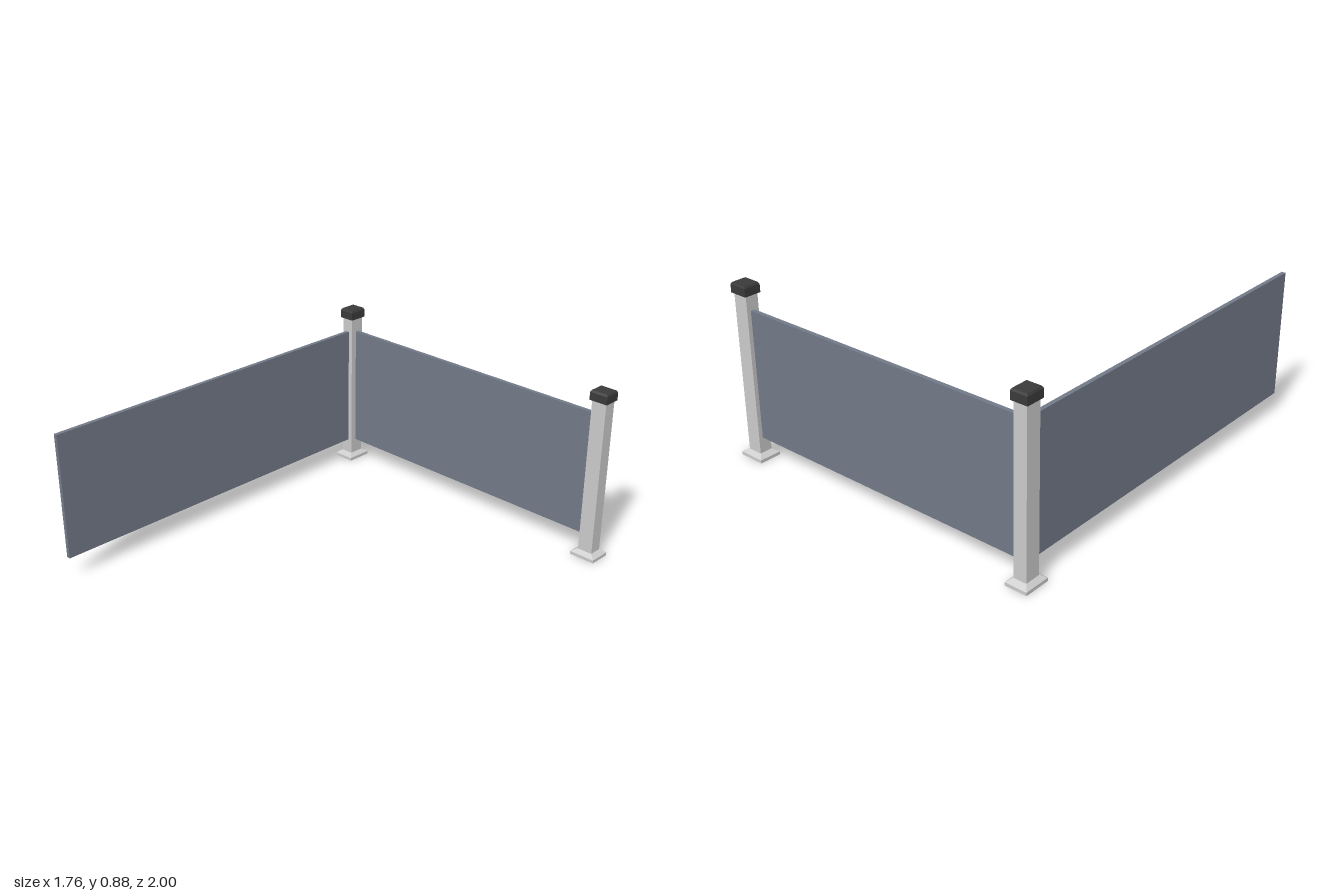
import * as THREE from 'three';

const grey = new THREE.MeshStandardMaterial({ color: 0xcccccc });
const dark = new THREE.MeshStandardMaterial({ color: 0x3a3a3a });
const slate = new THREE.MeshStandardMaterial({ color: 0x727a88 });

// Box standing on y, whose top edges are pulled in to topW x topD
function block(name, material, w, h, d, y, topW = w, topD = d) {
  const geo = new THREE.BoxGeometry(w, h, d);
  const p = geo.attributes.position;
  for (let i = 0; i < p.count; i++) {
    if (p.getY(i) > 0) {
      p.setX(i, p.getX(i) * topW / w);
      p.setZ(i, p.getZ(i) * topD / d);
    }
  }
  geo.translate(0, y + h / 2, 0);
  geo.computeVertexNormals();
  const mesh = new THREE.Mesh(geo, material);
  mesh.name = name;
  return mesh;
}

// Post with flared foot and chamfered cap; the long side lies along x
function makePost(name) {
  const post = new THREE.Group();
  post.name = name;
  post.add(
    block('footPlate', grey, 0.136, 0.016, 0.113, 0),
    block('footFlare', grey, 0.136, 0.017, 0.113, 0.016, 0.084, 0.07),
    block('shaft', grey, 0.079, 0.81, 0.066, 0.03),
    block('capSkirt', dark, 0.097, 0.04, 0.086, 0.83),
    block('capTop', dark, 0.097, 0.01, 0.086, 0.87, 0.086, 0.075)
  );
  return post;
}

export function createModel() {
  const model = new THREE.Group();
  model.name = 'cornerFence';

  const leftX = 0.808, cornerX = -0.823, backZ = -0.932;

  const endPost = makePost('endPost');
  endPost.position.set(leftX, 0, backZ);

  // The corner post is turned a quarter so its long side runs along z
  const cornerPost = makePost('cornerPost');
  cornerPost.position.set(cornerX, 0, backZ);
  cornerPost.rotation.y = Math.PI / 2;

  // Panels fitted into the post faces
  const bottom = 0.11, height = 0.645, thick = 0.021;
  const x0 = cornerX + 0.03, x1 = leftX - 0.037;
  const backPanel = block('backPanel', slate, x1 - x0, height, thick, bottom);
  backPanel.position.set((x0 + x1) / 2, 0, backZ - 0.002);

  const z0 = backZ + 0.037, z1 = 1;
  const sidePanel = block('sidePanel', slate, thick, height, z1 - z0, bottom);
  sidePanel.position.set(cornerX - 0.001, 0, (z0 + z1) / 2);

  model.add(endPost, cornerPost, backPanel, sidePanel);
  return model;
}
